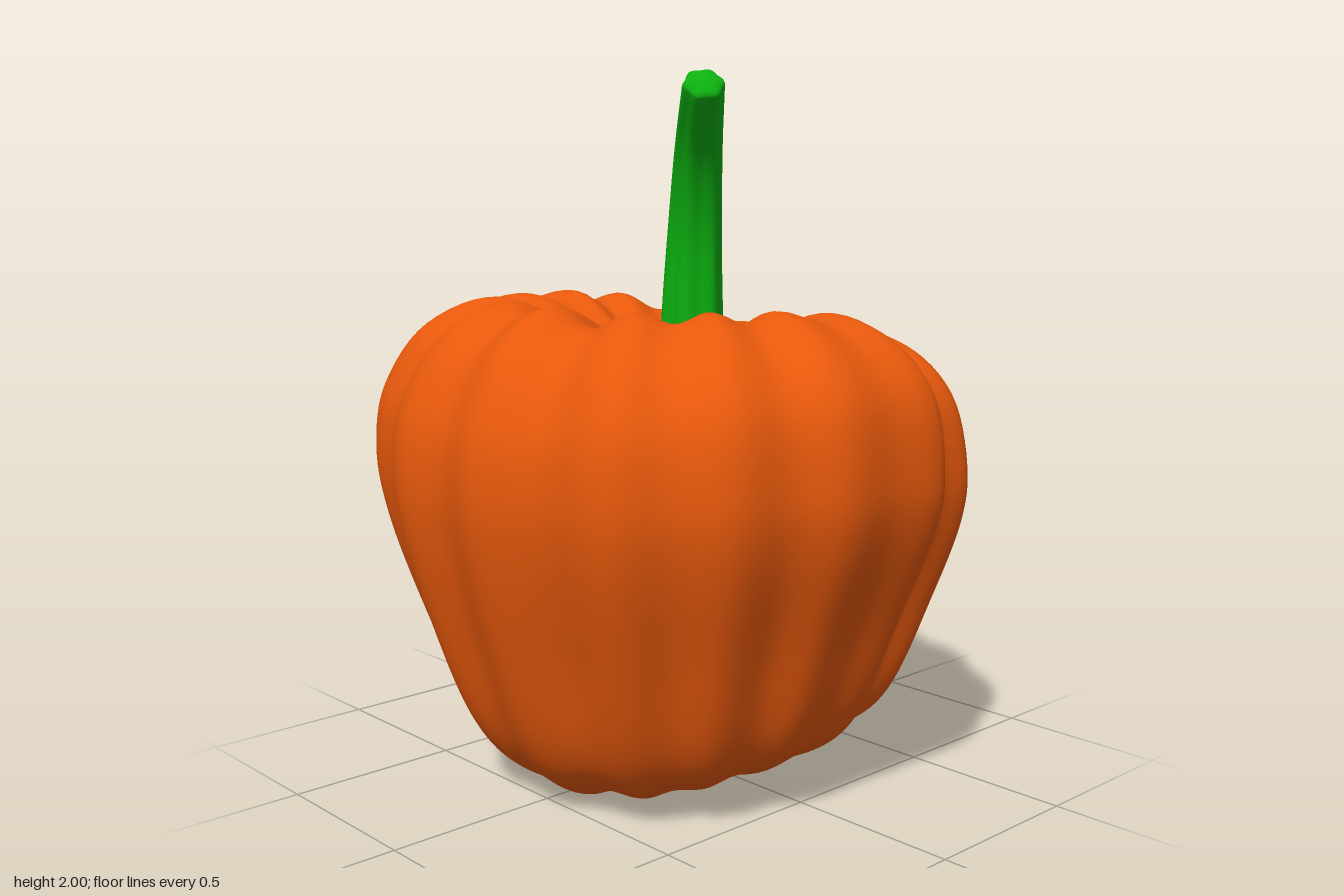
import * as THREE from 'three';

// Closed-around surface: rows run along the part, columns run around it.
function ringSurface(rows, cols, pointAt) {
  const pos = [], idx = [];
  for (let i = 0; i < rows; i++)
    for (let j = 0; j < cols; j++) pos.push(...pointAt(i, j).toArray());
  for (let i = 0; i < rows - 1; i++)
    for (let j = 0; j < cols; j++) {
      const k = (j + 1) % cols;
      const a = i * cols + j, c = i * cols + k, b = a + cols, d = c + cols;
      idx.push(a, b, c, b, d, c);
    }
  const geo = new THREE.BufferGeometry();
  geo.setAttribute('position', new THREE.Float32BufferAttribute(pos, 3));
  geo.setIndex(idx);
  geo.computeVertexNormals();
  return geo;
}

const part = (name, geo, color) => {
  const mesh = new THREE.Mesh(geo, new THREE.MeshStandardMaterial({ color }));
  mesh.name = name;
  return mesh;
};

// Lopsided body outlines as (radius, height), toward +x, +z, -x and -z.
const outlines = [
  [[0, .12], [.2, .09], [.45, .09], [.63, .14], [.73, .24], [.8, .45], [.835, .7], [.815, .9], [.73, 1.09], [.6, 1.22], [.42, 1.26], [.26, 1.21], [.12, 1.11], [0, 1.08]],
  [[0, .12], [.2, .08], [.38, .08], [.53, .15], [.63, .28], [.74, .55], [.84, .8], [.865, .97], [.83, 1.18], [.7, 1.32], [.5, 1.375], [.28, 1.27], [.12, 1.12], [0, 1.08]],
  [[0, .12], [.2, .04], [.38, 0], [.54, .08], [.65, .23], [.75, .5], [.82, .76], [.84, .95], [.81, 1.12], [.7, 1.3], [.52, 1.385], [.28, 1.28], [.12, 1.12], [0, 1.08]],
  [[0, .12], [.2, .07], [.36, .08], [.51, .17], [.64, .35], [.75, .58], [.83, .78], [.86, .95], [.83, 1.15], [.7, 1.31], [.47, 1.375], [.28, 1.28], [.12, 1.12], [0, 1.08]],
].map(pts => new THREE.SplineCurve(pts.map(p => new THREE.Vector2(...p))));

// Uneven rib crests, in degrees from +x toward +z, and the groove after each.
const crests = [6, 29, 59, 81, 103, 124, 144, 171, 194, 223, 245, 269, 291, 317, 340, 366];
const grooves = [.03, .025, .06, .02, .03, .03, .05, .03, .05, .03, .025, .03, .03, .03, .035];

function makeBody() {
  const rows = 79, perRib = 16;
  return ringSurface(rows, grooves.length * perRib, (i, j) => {
    const rib = Math.floor(j / perRib), u = (j % perRib) / perRib;
    const deg = THREE.MathUtils.lerp(crests[rib], crests[rib + 1], u) % 360;
    const th = THREE.MathUtils.degToRad(deg);
    // blend the two neighbouring outlines
    const q = Math.floor(deg / 90), f = THREE.MathUtils.smoothstep(deg / 90 - q, 0, 1);
    const A = outlines[q], B = outlines[(q + 1) % 4], t = i / (rows - 1);
    const p = A.getPoint(t).lerp(B.getPoint(t), f);
    const tan = A.getTangent(t).lerp(B.getTangent(t), f).normalize();
    // the front left side is slimmer and shorter
    const short = Math.max(0, Math.cos(th - Math.PI / 4)) ** 6 * THREE.MathUtils.smoothstep(p.x, 0, .3);
    p.y = .7 + (p.y - .7) * (1 - .07 * short);
    p.x *= 1 - .05 * Math.cos(th) * Math.sin(2 * th) ** 2;
    // press the grooves in along the surface normal
    const fade = THREE.MathUtils.smoothstep(p.x, .08, .42);
    const rise = .4 + .6 * THREE.MathUtils.smoothstep(p.y, .05, .5);
    const depth = grooves[rib] * Math.sin(Math.PI * u) ** 2 * fade * rise;
    const r = Math.max(0, p.x - tan.y * depth), y = p.y + tan.x * depth;
    return new THREE.Vector3(r * Math.cos(th), y, r * Math.sin(th));
  });
}

function makeStem() {
  const path = new THREE.CatmullRomCurve3([
    [.012, 1.06, .05], [.004, 1.34, .055], [-.014, 1.6, .085], [-.07, 1.8, .157], [-.17, 1.957, .28],
  ].map(p => new THREE.Vector3(...p)));
  const n = 40, cols = 72, frames = path.computeFrenetFrames(n);
  const cap = [.95, .82, .6, .3, 0]; // rings that round off the tip
  return ringSurface(n + 1 + cap.length, cols, (i, j) => {
    const k = Math.min(i, n), t = k / n, a = j / cols * Math.PI * 2;
    const lobes = 1 + .06 * Math.cos(6 * a);
    const shrink = i > n ? cap[i - n - 1] : 1;
    const r = (.1 - .046 * t ** .85) * lobes * shrink;
    return path.getPointAt(t)
      .addScaledVector(frames.normals[k], r * Math.cos(a))
      .addScaledVector(frames.binormals[k], -r * Math.sin(a))
      .addScaledVector(frames.tangents[k], i > n ? .02 * Math.sqrt(1 - shrink * shrink) : 0);
  });
}

export function createModel() {
  const group = new THREE.Group();
  group.name = 'pumpkin';
  group.add(part('body', makeBody(), 0xe8590c), part('stem', makeStem(), 0x0cb010));
  return group;
}
